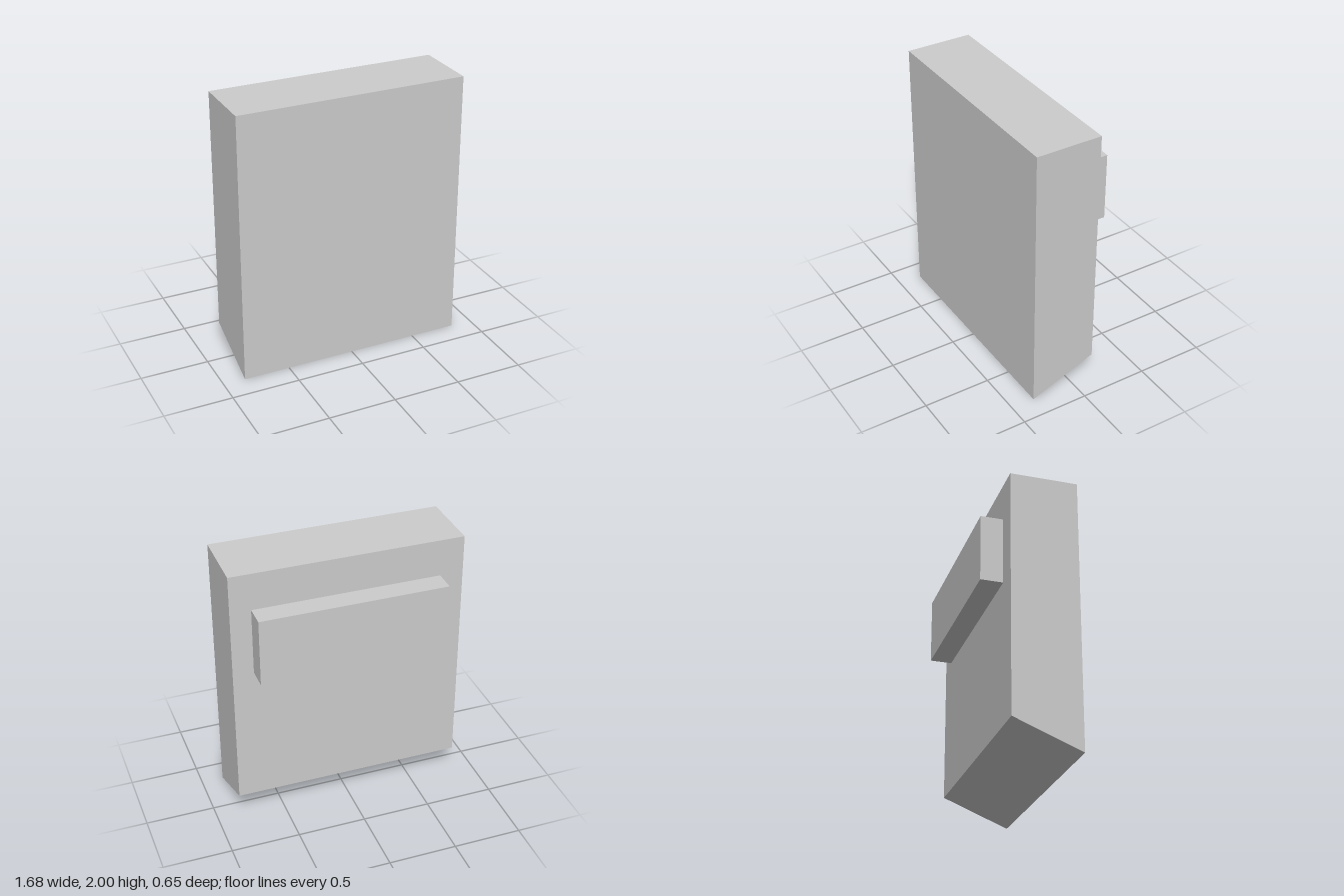
import * as THREE from 'three';

export function createModel() {
  const group = new THREE.Group();
  const material = new THREE.MeshStandardMaterial({ color: 0xcccccc, flatShading: true });

  const halfWidth = 0.84, front = 0.325, back = -0.163;

  // Main slab: side profile with a sloped underside, swept across the width
  const profile = new THREE.Shape([
    [-front, 0], [-back, 0.195], [-back, 2], [-front, 2],
  ].map(([x, y]) => new THREE.Vector2(x, y)));
  const bodyGeometry = new THREE.ExtrudeGeometry(profile, { depth: 2 * halfWidth, bevelEnabled: false });
  bodyGeometry.translate(0, 0, -halfWidth).rotateY(Math.PI / 2);
  const body = new THREE.Mesh(bodyGeometry, material);
  body.name = 'body';
  group.add(body);

  // Raised block on the back, slightly off centre
  const block = new THREE.Mesh(new THREE.BoxGeometry(1.36, 0.495, 0.162), material);
  block.name = 'backBlock';
  block.position.set(0.01, 1.48, -0.244);
  group.add(block);

  return group;
}
